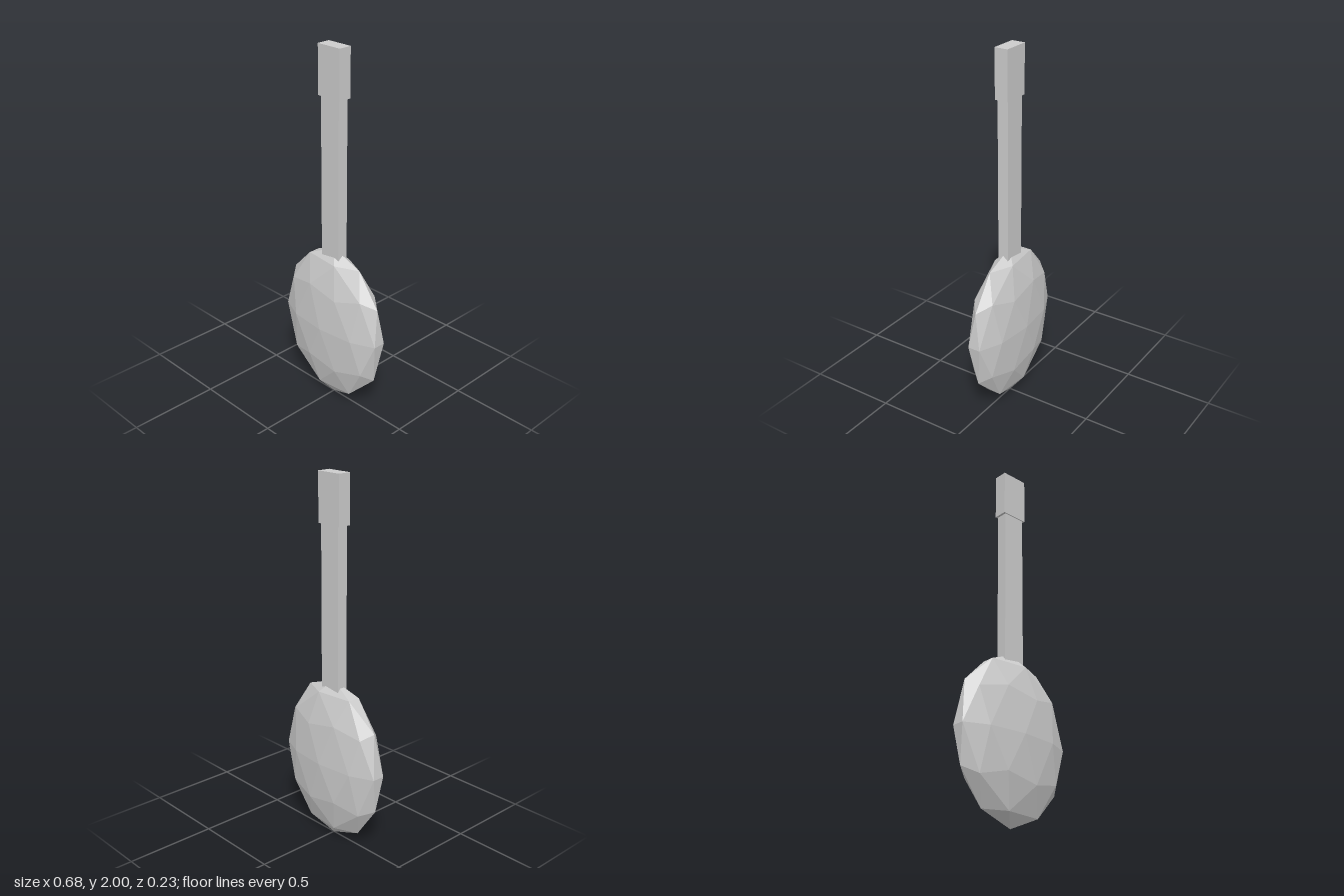
import * as THREE from 'three';

export function createModel() {
  const group = new THREE.Group();
  const grey = new THREE.MeshStandardMaterial({ color: 0xcccccc, flatShading: true });
  grey.name = 'light grey';

  const add = (name, geometry, y) => {
    const mesh = new THREE.Mesh(geometry, grey);
    mesh.name = name;
    mesh.position.y = y;
    group.add(mesh);
  };

  // Faceted body: an icosphere standing on one corner, flattened front to back
  const golden = (1 + Math.sqrt(5)) / 2;
  const body = new THREE.IcosahedronGeometry(1, 1);
  body.rotateZ(-Math.atan2(1, golden));
  body.scale(0.357, 0.455, 0.113);
  body.computeVertexNormals();
  add('body', body, 0.455);

  // Neck, sunk into the top of the body
  const neckBottom = 0.8, neckTop = 1.74;
  add('neck', new THREE.BoxGeometry(0.125, neckTop - neckBottom, 0.06), (neckBottom + neckTop) / 2);

  // Wider block at the end of the neck
  add('head', new THREE.BoxGeometry(0.15, 2 - neckTop, 0.074), (neckTop + 2) / 2);

  return group;
}
